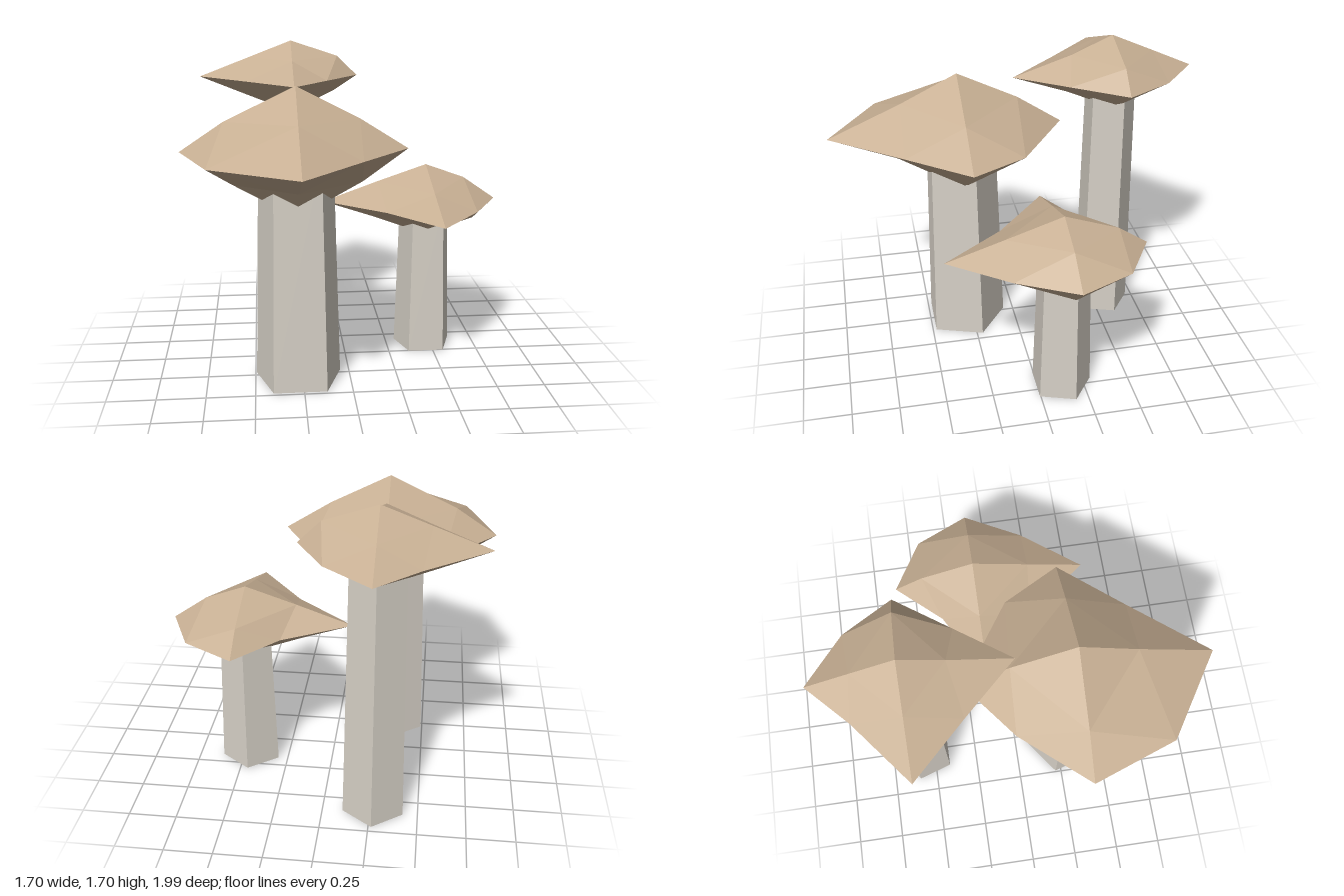
import * as THREE from 'three';

const capMaterial = new THREE.MeshStandardMaterial({ color: 0xc8b094, flatShading: true });
const stemMaterial = new THREE.MeshStandardMaterial({ color: 0xd6d0c6, flatShading: true });

// Uneven caps: each is an octahedron whose eight faces are split in four.
// rim: reach to +x, +z, -x, -z; corner: [x, z] of the rim points between them;
// upper / lower: [reach, rise] of the ridge points in the same four directions.
const mushrooms = [
  {
    name: 'largeMushroom', x: -0.27, z: 0.29, height: 1.226, radius: 0.235, top: 0.32, bottom: -0.35,
    rim: [0.565, 0.70, 0.58, 0.565],
    corner: [[0.307, 0.315], [-0.427, 0.425], [-0.295, -0.335], [0.407, -0.29]],
    upper: [[0.32, 0.155], [0.304, 0.171], [0.36, 0.147], [0.325, 0.16]],
    lower: [[0.336, -0.166], [0.335, -0.146], [0.32, -0.173], [0.335, -0.156]],
  },
  {
    name: 'smallMushroom', x: 0.46, z: -0.13, height: 0.852, radius: 0.166, top: 0.2, bottom: -0.2,
    rim: [0.39, 0.605, 0.57, 0.435],
    corner: [[0.231, 0.30], [-0.25, 0.28], [-0.212, -0.20], [0.263, -0.28]],
    upper: [[0.213, 0.123], [0.30, 0.10], [0.27, 0.108], [0.285, 0.10]],
    lower: [[0.273, -0.111], [0.21, -0.091], [0.293, -0.092], [0.205, -0.081]],
  },
  {
    name: 'tallMushroom', x: -0.265, z: -0.55, height: 1.5, radius: 0.166, top: 0.2, bottom: -0.21,
    rim: [0.38, 0.54, 0.522, 0.447],
    corner: [[0.19, 0.27], [-0.255, 0.27], [-0.205, -0.25], [0.233, -0.25]],
    upper: [[0.267, 0.111], [0.22, 0.104], [0.24, 0.108], [0.225, 0.10]],
    lower: [[0.25, -0.085], [0.24, -0.105], [0.275, -0.10], [0.225, -0.10]],
  },
];

// Point at a reach and rise along one of the directions +x, +z, -x, -z
function spoke(i, reach, rise) {
  const [dx, dz] = [[1, 0], [0, 1], [-1, 0], [0, -1]][i];
  return [dx * reach, rise, dz * reach];
}

function capGeometry(m) {
  const positions = [];
  for (let i = 0; i < 4; i++) {
    const j = (i + 1) % 4;
    const a = spoke(i, m.rim[i], 0);
    const b = spoke(j, m.rim[j], 0);
    const mid = [m.corner[i][0], 0, m.corner[i][1]];
    for (const [ridge, peak, up] of [[m.upper, m.top, true], [m.lower, m.bottom, false]]) {
      const tip = [0, peak, 0];
      const ra = spoke(i, ...ridge[i]);
      const rb = spoke(j, ...ridge[j]);
      for (const [p, q, r] of [[a, ra, mid], [mid, rb, b], [ra, rb, mid], [ra, tip, rb]]) {
        positions.push(...p, ...(up ? q : r), ...(up ? r : q));
      }
    }
  }
  const geometry = new THREE.BufferGeometry();
  geometry.setAttribute('position', new THREE.Float32BufferAttribute(positions, 3));
  geometry.computeVertexNormals();
  return geometry;
}

function createMushroom(m) {
  const group = new THREE.Group();
  group.name = m.name;
  group.position.set(m.x, 0, m.z);

  // Tapered five-sided stem with a flat side to the front
  const stem = new THREE.Mesh(
    new THREE.CylinderGeometry(m.radius * 0.85, m.radius, m.height, 5), stemMaterial);
  stem.name = 'stem';
  stem.position.y = m.height / 2;
  stem.rotation.y = Math.PI;

  // Faceted cap, its underside resting over the stem
  const cap = new THREE.Mesh(capGeometry(m), capMaterial);
  cap.name = 'cap';
  cap.position.y = m.height;

  group.add(stem, cap);
  return group;
}

export function createModel() {
  const model = new THREE.Group();
  model.name = 'mushroomCluster';
  for (const m of mushrooms) model.add(createMushroom(m));
  return model;
}
